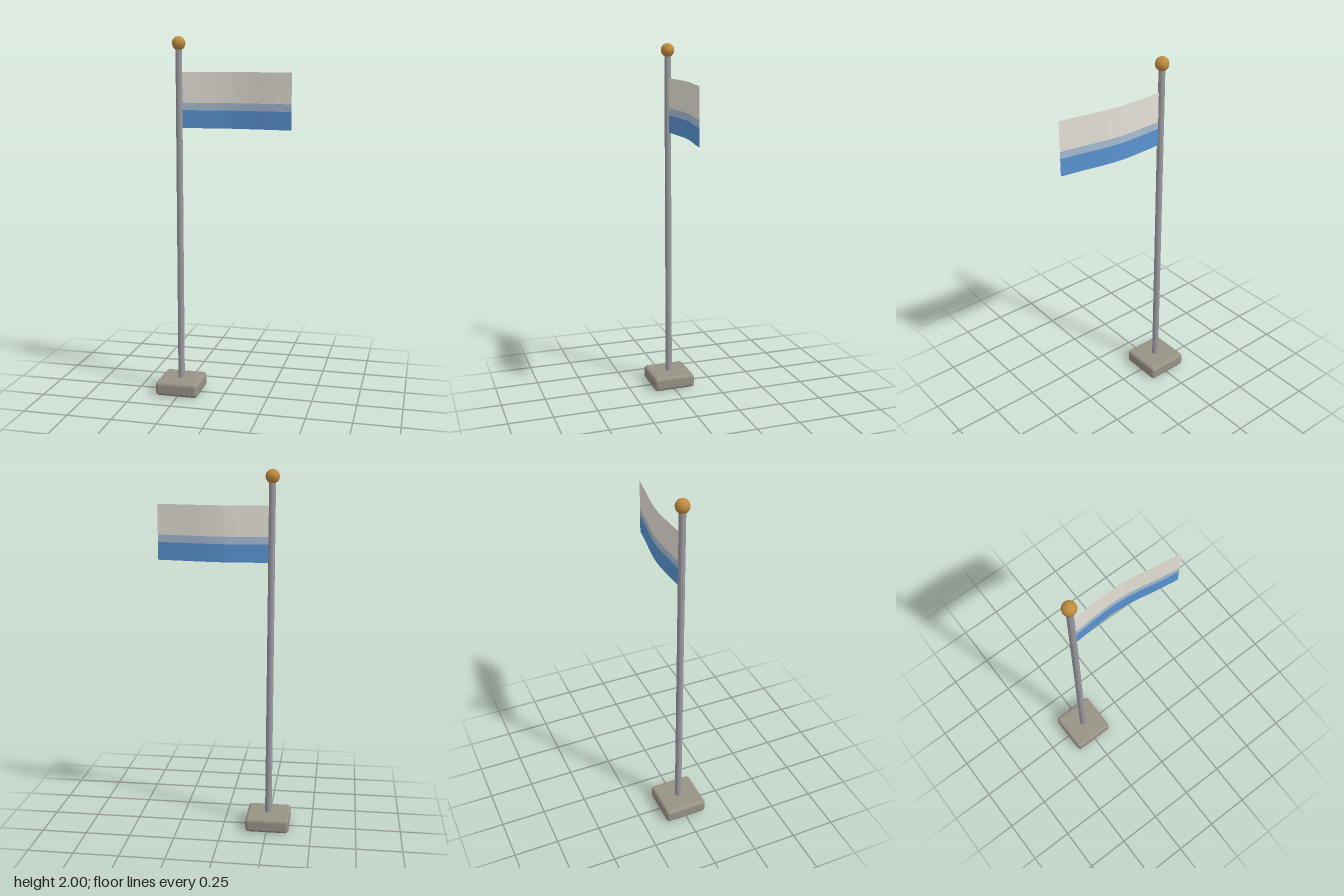
import * as THREE from 'three';
import { RoundedBoxGeometry } from 'three/addons/geometries/RoundedBoxGeometry.js';

const POLE_X = -0.254;

export function createModel() {
  const group = new THREE.Group();

  const add = (name, geometry, color, x = 0, y = 0, side = THREE.FrontSide) => {
    const mesh = new THREE.Mesh(geometry, new THREE.MeshStandardMaterial({ color, side }));
    mesh.name = name;
    mesh.position.set(x, y, 0);
    group.add(mesh);
    return mesh;
  };

  // Foot block, pole and ball finial
  add('base', new RoundedBoxGeometry(0.244, 0.08, 0.244, 2, 0.02), 0x989286, POLE_X, 0.04);
  add('pole', new THREE.CylinderGeometry(0.018, 0.019, 1.88, 12), 0x9c9ca2, POLE_X, 1.0);
  add('finial', new THREE.SphereGeometry(0.038, 12, 8), 0xc08c40, POLE_X, 1.962);

  // Waving cloth: one shared wave seen from above, cut into horizontal bands
  const wave = new THREE.SplineCurve([
    [-0.237, 0], [-0.115, -0.008], [0.006, -0.012], [0.127, 0], [0.25, 0.022], [0.37, 0.04],
  ].map(([x, z]) => new THREE.Vector2(x, z)));

  const clothBand = (bottom, top) => {
    const geometry = new THREE.PlaneGeometry(1, top - bottom, 20, 1);
    const position = geometry.attributes.position;
    for (let i = 0; i < position.count; i++) {
      const p = wave.getPoint(position.getX(i) + 0.5);
      position.setXYZ(i, p.x, position.getY(i) + (top + bottom) / 2, p.y);
    }
    geometry.computeVertexNormals();
    return geometry;
  };

  const bands = [
    ['flagLowerBand', 1.508, 1.605, 0x5a94d2],
    ['flagMiddleBand', 1.605, 1.645, 0xa6bcd4],
    ['flagUpperBand', 1.645, 1.81, 0xe6e2d8],
  ];
  for (const [name, bottom, top, color] of bands) {
    add(name, clothBand(bottom, top), color, 0, 0, THREE.DoubleSide);
  }

  return group;
}
